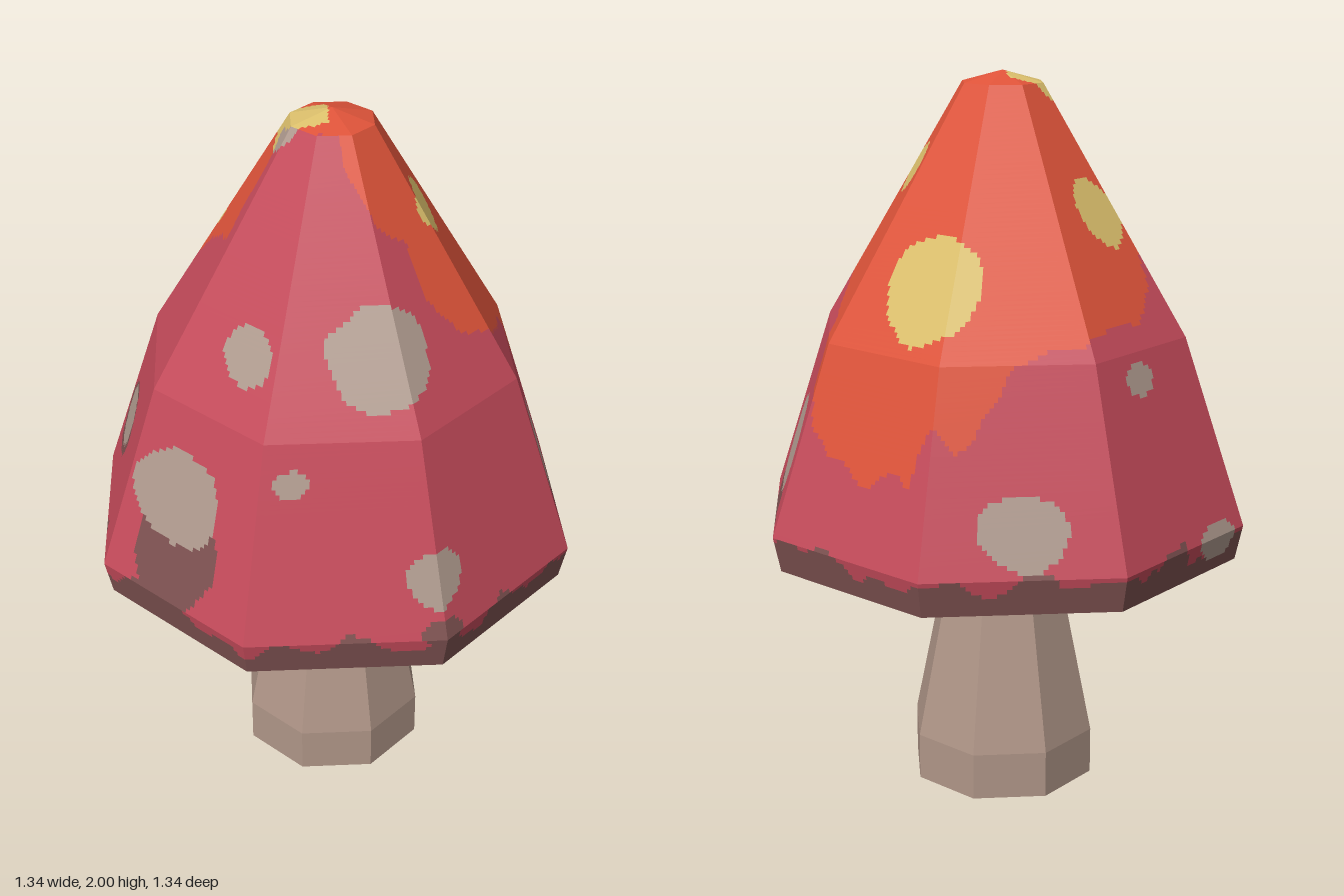
import * as THREE from 'three';

const SIDES = 8;
const CELL = 0.013;
const STEP = (Math.PI * 2) / SIDES;

const mat = (name, color) => {
  const m = new THREE.MeshStandardMaterial({ color });
  m.name = name;
  return m;
};

// Cap profile [radius, height], rim upwards
const CAP = [[0.65, 0.735], [0.67, 0.83], [0.5, 1.33], [0.11, 1.97], [0, 2]];

// Outline of the orange crown seen from above, as [x, z]
const CROWN = [
  [-0.09, 0.07], [-0.115, 0], [-0.115, -0.05], [-0.2, -0.04], [-0.26, -0.06], [-0.24, -0.2],
  [-0.27, -0.3], [-0.2, -0.38], [-0.08, -0.43], [0, -0.46], [0.2, -0.43], [0.35, -0.42],
  [0.45, -0.36], [0.49, -0.28], [0.53, -0.2], [0.55, -0.02], [0.51, 0.08], [0.42, 0.12],
  [0.38, 0.2], [0.31, 0.29], [0.2, 0.32], [0.11, 0.3], [0.09, 0.23], [0.01, 0.23],
  [-0.03, 0.16], [-0.03, 0.1],
];

// Painted blobs: [degrees round from the front, height, half width, half height]
const SPOTS = [
  [-7, 1.5, 0.125, 0.115], [-58, 1.49, 0.075, 0.065], [-37, 1.23, 0.042, 0.034],
  [-73, 1.1, 0.15, 0.12], [0, 0.98, 0.075, 0.07], [66, 1.01, 0.13, 0.125],
  [60, 1.75, 0.075, 0.065], [123, 1.49, 0.135, 0.13], [158, 0.94, 0.11, 0.09],
  [-148, 1.655, 0.07, 0.085], [-162, 1.265, 0.052, 0.04], [-124, 1.06, 0.09, 0.08],
  [-145, 0.82, 0.075, 0.05], [-113, 1.95, 0.065, 0.055],
];
const STAINS = [
  [-70, 0.97, 0.14, 0.16], [66, 0.87, 0.09, 0.09], [-124, 1.05, 0.105, 0.1], [0, 0.84, 0.06, 0.04],
];

const wobble = (p) =>
  0.5 * Math.sin(31 * p.x + 17 * p.y) + 0.3 * Math.sin(43 * p.z - 29 * p.y + 1) + 0.2 * Math.sin(71 * (p.x - p.z) + 2);

function inBlob(p, [deg, y, w, h]) {
  const a = THREE.MathUtils.degToRad(deg);
  if (p.x * Math.sin(a) + p.z * Math.cos(a) < 0.01) return false;
  const across = p.x * Math.cos(a) - p.z * Math.sin(a);
  return Math.hypot(across / w, (p.y - y) / h) < 1 + 0.1 * wobble(p);
}

function inCrown(p) {
  const k = 0.012 * wobble(p);
  const x = p.x + k, z = p.z - k;
  let inside = Math.hypot(p.x, p.z) < 0.1;
  if (inside) return true;
  CROWN.forEach(([x1, z1], i) => {
    const [x2, z2] = CROWN[(i + 1) % CROWN.length];
    if ((z1 > z) !== (z2 > z) && x < ((x2 - x1) * (z - z1)) / (z2 - z1) + x1) inside = !inside;
  });
  return inside;
}

function capColour(p) {
  const crown = inCrown(p);
  if (SPOTS.some((s) => inBlob(p, s))) return crown ? 'yellow' : 'grey';
  if (crown) return 'orange';
  if (p.y < 0.815 + 0.04 * wobble(p) || STAINS.some((s) => inBlob(p, s))) return 'brown';
  return 'red';
}

// Faceted cap, each flat facet cut into small strips sorted by colour
function buildCap(materials) {
  const buckets = {};
  const point = (s, i, u, v) => {
    const r = THREE.MathUtils.lerp(CAP[i][0], CAP[i + 1][0], v);
    const y = THREE.MathUtils.lerp(CAP[i][1], CAP[i + 1][1], v);
    const a = s * STEP, b = a + STEP;
    return new THREE.Vector3(
      r * THREE.MathUtils.lerp(Math.sin(a), Math.sin(b), u), y,
      r * THREE.MathUtils.lerp(Math.cos(a), Math.cos(b), u));
  };
  for (let s = 0; s < SIDES; s++) {
    for (let i = 0; i < CAP.length - 1; i++) {
      const [r0, y0] = CAP[i], [r1, y1] = CAP[i + 1];
      const rows = Math.ceil(Math.hypot(r1 - r0, y1 - y0) / CELL);
      const cols = Math.ceil((Math.max(r0, r1) * 2 * Math.sin(STEP / 2)) / CELL);
      for (let j = 0; j < rows; j++) {
        const v0 = j / rows, v1 = (j + 1) / rows;
        const colourAt = (c) => capColour(point(s, i, (c + 0.5) / cols, (v0 + v1) / 2));
        let start = 0, colour = colourAt(0);
        for (let c = 1; c <= cols; c++) {
          const next = c < cols ? colourAt(c) : null;
          if (next === colour) continue;
          const A = point(s, i, start / cols, v0), B = point(s, i, c / cols, v0);
          const C = point(s, i, c / cols, v1), D = point(s, i, start / cols, v1);
          const tris = v1 === 1 && r1 === 0 ? [A, B, C] : [A, B, C, A, C, D];
          (buckets[colour] ??= []).push(...tris);
          start = c;
          colour = next;
        }
      }
    }
  }
  const names = { red: 'capSkin', orange: 'capCrown', yellow: 'crownSpots', grey: 'capSpots', brown: 'capRim' };
  const cap = new THREE.Group();
  cap.name = 'cap';
  for (const [colour, pts] of Object.entries(buckets)) {
    const g = new THREE.BufferGeometry().setFromPoints(pts);
    g.computeVertexNormals();
    const mesh = new THREE.Mesh(g, materials[colour]);
    mesh.name = names[colour];
    cap.add(mesh);
  }
  return cap;
}

// Eight-sided faceted part from a profile listed upwards along its outside
function faceted(name, profile, material) {
  const g = new THREE.LatheGeometry(profile.map(([r, y]) => new THREE.Vector2(r, y)), SIDES).toNonIndexed();
  g.computeVertexNormals();
  const mesh = new THREE.Mesh(g, material);
  mesh.name = name;
  return mesh;
}

export function createModel() {
  const materials = {
    red: mat('capRed', 0xc64b5b),
    orange: mat('crownOrange', 0xe0543a),
    yellow: mat('spotYellow', 0xdcc06c),
    grey: mat('spotGrey', 0xb09b8f),
    brown: mat('rimBrown', 0x7e5251),
    gill: mat('gillBrown', 0x6a4545),
    stem: mat('stemTaupe', 0xb09688),
  };
  const model = new THREE.Group();
  model.name = 'mushroom';
  model.add(
    buildCap(materials),
    faceted('gills', [[0.16, 0.635], [0.65, 0.735]], materials.gill),
    faceted('stem', [[0.26, 0.05], [0.26, 0.18], [0.165, 0.64]], materials.stem),
    faceted('stemBase', [[0, 0], [0.26, 0.05]], materials.gill),
  );
  return model;
}
